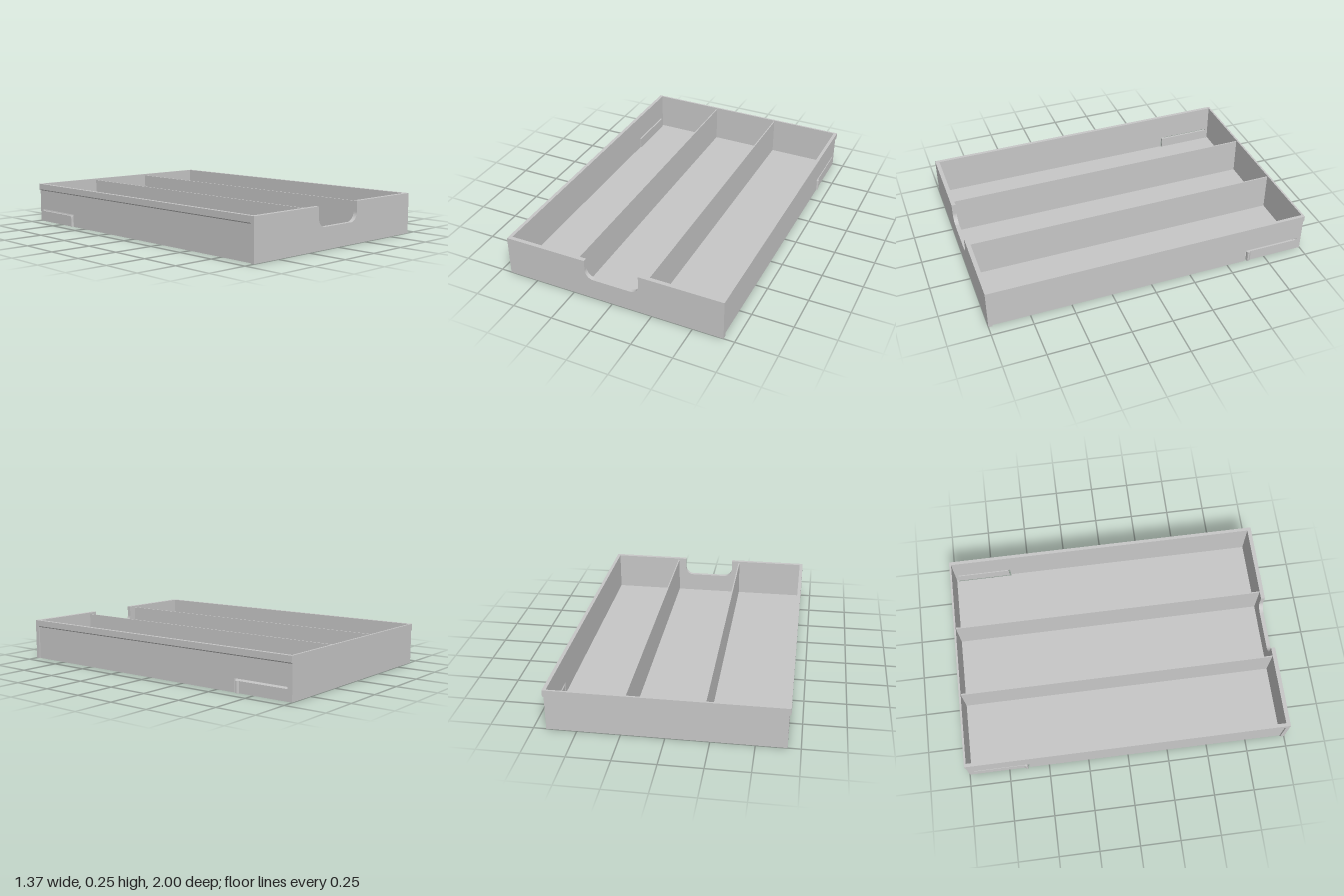
import * as THREE from 'three';

const HALF_W = 0.685, HEIGHT = 0.25, FLOOR = 0.008;
const WALL_IN = 0.664, WALL_OUT = 0.676;
const FRONT_IN = 0.975, BACK_IN = -0.988;

// Straight extrusion of a list of corner points
function extrudePoints(points, depth) {
  const shape = new THREE.Shape(points.map(([x, y]) => new THREE.Vector2(x, y)));
  return new THREE.ExtrudeGeometry(shape, { depth, bevelEnabled: false });
}

export function createModel() {
  const group = new THREE.Group();
  const grey = new THREE.MeshStandardMaterial({ color: 0xc7c7c7 });
  grey.name = 'light grey plastic';

  function add(name, geometry, x = 0, y = 0, z = 0) {
    const mesh = new THREE.Mesh(geometry, grey);
    mesh.name = name;
    mesh.position.set(x, y, z);
    group.add(mesh);
    return mesh;
  }

  // Floor, with a narrow gap beside each spring clip (outline in x, -z)
  const gapIn = 0.656;
  const rightEdge = [
    [WALL_IN, -FRONT_IN], [WALL_IN, 0.62], [gapIn, 0.62],
    [gapIn, 0.976], [WALL_IN, 0.976], [WALL_IN, 1],
  ];
  const leftEdge = rightEdge.map(([x, y]) => [-x, y]).reverse();
  add('floor', extrudePoints([...rightEdge, ...leftEdge], FLOOR)).rotation.x = -Math.PI / 2;

  // Front panel with a rounded finger notch
  const notch = 0.17, notchY = 0.13, r = 0.055;
  const front = new THREE.Shape();
  front.moveTo(-HALF_W, 0);
  front.lineTo(HALF_W, 0);
  front.lineTo(HALF_W, HEIGHT);
  front.lineTo(notch, HEIGHT);
  front.lineTo(notch, notchY + r);
  front.absarc(notch - r, notchY + r, r, 0, -Math.PI / 2, true);
  front.lineTo(-notch + r, notchY);
  front.absarc(-notch + r, notchY + r, r, -Math.PI / 2, -Math.PI, true);
  front.lineTo(-notch, HEIGHT);
  front.lineTo(-HALF_W, HEIGHT);
  add('frontPanel', new THREE.ExtrudeGeometry(front,
    { depth: 1 - FRONT_IN, bevelEnabled: false, curveSegments: 12 }), 0, 0, FRONT_IN);

  // Back panel
  add('backPanel', new THREE.BoxGeometry(WALL_IN * 2, HEIGHT, 1 + BACK_IN),
    0, HEIGHT / 2, (BACK_IN - 1) / 2);

  // Side wall outline in (z, y): an L-shaped slit frees the clip arm
  const wallOutline = [
    [-1, 0], [-0.631, 0], [-0.631, 0.068], [-0.97, 0.068], [-0.97, 0.08],
    [-0.62, 0.08], [-0.62, 0], [FRONT_IN, 0], [FRONT_IN, HEIGHT], [-1, HEIGHT],
  ];

  for (const [side, s] of [['left', 1], ['right', -1]]) {
    const wall = add(side + 'Wall', extrudePoints(wallOutline, WALL_OUT - WALL_IN),
      s > 0 ? WALL_OUT : -WALL_IN);
    wall.rotation.y = -Math.PI / 2;

    // Overhanging lip with a small sloped underside
    add(side + 'Lip', extrudePoints([
      [s * WALL_OUT, 0.206], [s * HALF_W, 0.213], [s * HALF_W, HEIGHT], [s * WALL_OUT, HEIGHT],
    ], 1 + FRONT_IN), 0, 0, -1);

    // Catch on the free end of the clip arm (outline in x, -z)
    add(side + 'ClipCatch', extrudePoints([
      [s * WALL_OUT, 0.631], [s * HALF_W, 0.634], [s * HALF_W, 0.642], [s * WALL_OUT, 0.655],
    ], 0.068)).rotation.x = -Math.PI / 2;

    // Lengthwise divider
    const length = FRONT_IN - BACK_IN;
    add(side + 'Divider', new THREE.BoxGeometry(0.008, 0.24 - FLOOR, length),
      s * 0.222, (0.24 + FLOOR) / 2, (FRONT_IN + BACK_IN) / 2);
  }
  return group;
}
